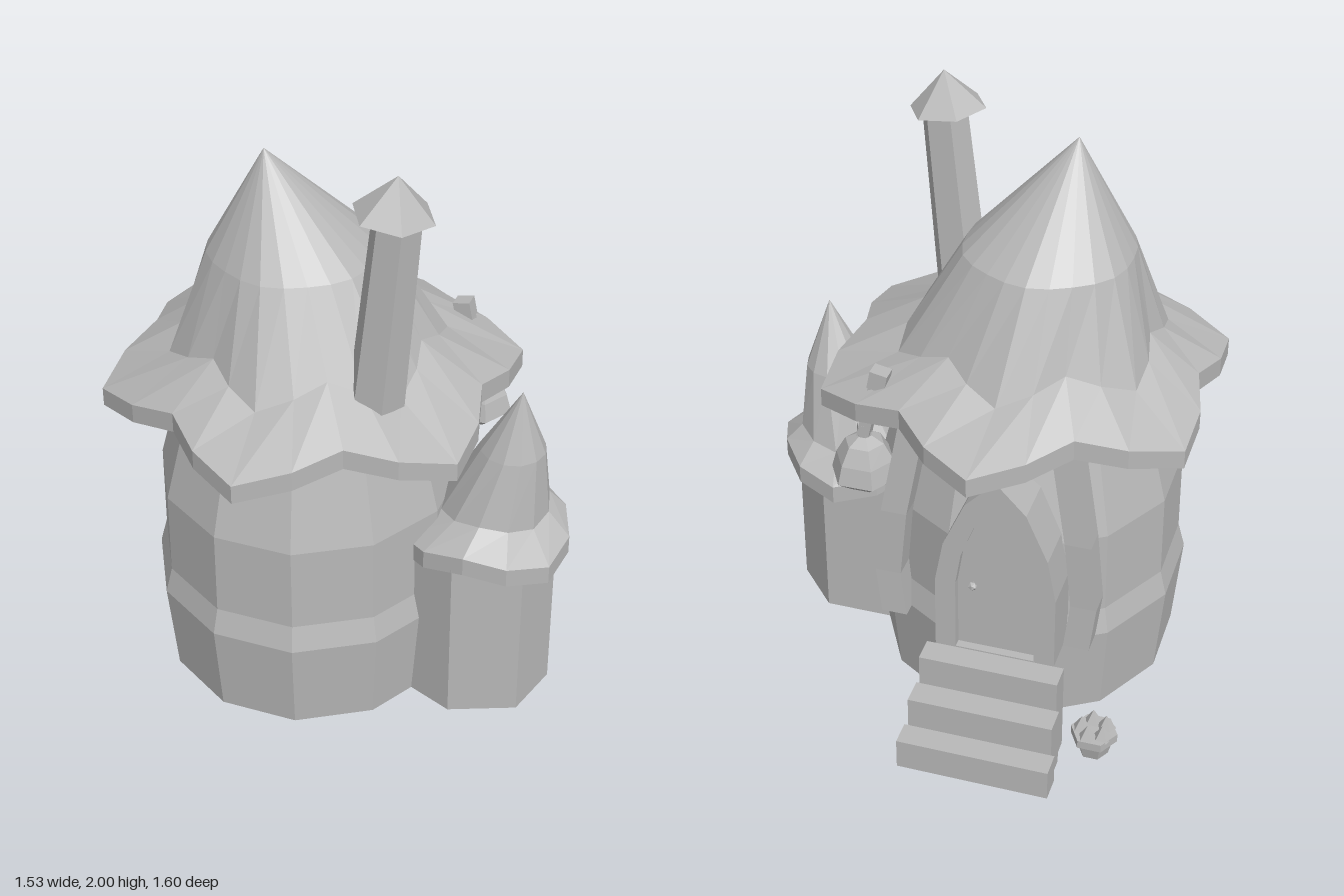
import * as THREE from 'three';

const stone = new THREE.MeshStandardMaterial({ color: 0xb8b8b8, flatShading: true, side: THREE.DoubleSide });
stone.name = 'plain grey';

// Faceted surface through rings [y, rLobe, rValley, valleyLift, cx, cz], bottom to top.
function loft(rings, { n = 6, lobes = 0, phase = 0, sx = 1 } = {}) {
  const p = phase * Math.PI / 180;
  const point = ([y, r, rv, lift, cx, cz], j) => {
    const a = p + (j % n) / n * Math.PI * 2;
    const w = lobes ? (1 - Math.cos(lobes * (a - p))) / 2 : 0; // 0 lobe, 1 valley
    const rad = r + (rv - r) * w;
    return [cx + rad * Math.cos(a) * sx, y + lift * w, cz + rad * Math.sin(a)];
  };
  const pos = [];
  for (let i = 0; i < rings.length - 1; i++) {
    const lo = rings[i], hi = rings[i + 1];
    for (let j = 0; j < n; j++) {
      const a = point(lo, j), b = point(lo, j + 1), c = point(hi, j), d = point(hi, j + 1);
      if (lo[1] > 0) pos.push(...a, ...c, ...b);
      if (hi[1] > 0) pos.push(...b, ...c, ...d);
    }
  }
  const g = new THREE.BufferGeometry();
  g.setAttribute('position', new THREE.Float32BufferAttribute(pos, 3));
  g.computeVertexNormals();
  return g;
}

// Round rings from a profile of [y, r] around one axis.
const round = (prof, cx, cz) => prof.map(([y, r]) => [y, r, r, 0, cx, cz]);

// Pointed arch outline standing at y = base.
function archPoints(w, base, spring, top) {
  const h = top - spring;
  const half = [[w, base], [w, spring], [w * 0.86, spring + h * 0.36], [w * 0.5, spring + h * 0.75]];
  return [...half, [0, top], ...half.map(([x, y]) => [-x, y]).reverse()]
    .map(([x, y]) => new THREE.Vector2(x, y));
}

// Box without its underside.
function openBox(w, h, d) {
  const g = new THREE.BoxGeometry(w, h, d);
  const index = Array.from(g.index.array);
  index.splice(18, 6);
  g.setIndex(index);
  g.clearGroups();
  return g;
}

export function createModel() {
  const group = new THREE.Group();
  const add = (name, geo, x = 0, y = 0, z = 0) => {
    const m = new THREE.Mesh(geo, stone);
    m.name = name;
    m.position.set(x, y, z);
    group.add(m);
    return m;
  };

  // Bulging house wall, open underneath
  add('houseWall', loft(round([[0, 0.545], [0.33, 0.577], [0.42, 0.552], [0.72, 0.55],
    [1.02, 0.468], [1.1, 0.44]], -0.157, 0.092), { n: 12, phase: 15, sx: 0.945 }));

  // Main roof: underside, scalloped rim, brim, leaning cone
  add('mainRoof', loft([
    [1.03, 0.4, 0.4, 0, -0.14, 0.09],
    [1.02, 0.71, 0.58, 0.065, -0.14, 0.09],
    [1.085, 0.71, 0.58, 0.07, -0.14, 0.09],
    [1.2, 0.465, 0.39, 0.08, -0.16, 0.09],
    [1.55, 0.29, 0.28, 0, -0.205, 0.09],
    [1.915, 0, 0, 0, -0.275, 0.16],
  ], { n: 24, lobes: 6, phase: 30 }));

  // Leaning chimney and cap
  add('chimney', loft([
    [1.19, 0, 0, 0, 0.168, 0.345],
    [1.19, 0.095, 0.095, 0, 0.168, 0.345],
    [1.88, 0.08, 0.08, 0, 0.235, 0.345],
  ]));
  add('chimneyCap', loft(round([[0, 0.133], [0.132, 0]], 0, 0)), 0.222, 1.868, 0.345).rotation.z = -0.1;

  // Side turret, open underneath
  add('turretWall', loft(round([[0, 0.24], [0.61, 0.24]], 0.447, 0.145),
    { n: 7, phase: 90, sx: 1.16 }));
  add('turretRoof', loft([
    [0.6, 0.18, 0.18, 0, 0.485, 0.12],
    [0.555, 0.3, 0.27, 0.05, 0.485, 0.12],
    [0.62, 0.3, 0.27, 0.05, 0.485, 0.12],
    [0.7, 0.185, 0.185, 0.03, 0.505, 0.1],
    [0.95, 0.11, 0.11, 0, 0.56, 0.11],
    [1.185, 0, 0, 0, 0.59, 0.13],
  ], { n: 12, lobes: 3, phase: 30 }));

  // Doorway: arched frame, recessed door and knob
  const frame = new THREE.Shape(archPoints(0.205, 0.33, 0.6, 1.03));
  frame.holes.push(new THREE.Path(archPoints(0.135, 0.335, 0.6, 0.93).reverse()));
  add('doorFrame', new THREE.ExtrudeGeometry(frame, { depth: 0.2, bevelEnabled: false }), -0.21, 0, -0.535);
  const door = new THREE.Shape(archPoints(0.14, 0.33, 0.6, 0.935));
  add('door', new THREE.ExtrudeGeometry(door, { depth: 0.08, bevelEnabled: false }), -0.21, 0, -0.505);
  add('doorKnob', new THREE.IcosahedronGeometry(0.016, 0), -0.13, 0.59, -0.52);

  // Three separate step blocks, wider towards the ground
  [[0.33, -0.535, -0.622, 0.475], [0.22, -0.624, -0.715, 0.495], [0.11, -0.717, -0.803, 0.52]]
    .forEach(([h, z0, z1, w]) => {
      add('step', openBox(w, h, z0 - z1), -0.212, h / 2, (z0 + z1) / 2);
    });

  // Bent timber posts flanking the doorway
  for (const s of [1, -1]) {
    const path = [[0.33, 0.32, -0.38], [0.5, 0.34, -0.375], [0.75, 0.315, -0.375], [1.09, 0.255, -0.35]];
    const rings = path.map(([y, x, z]) => [y, 0.063, 0.063, 0, -0.14 + s * x, z]);
    const [y, , , , x, z] = rings[0];
    add('timberPost', loft([[y, 0, 0, 0, x, z], ...rings], { n: 4, phase: 45 }));
  }

  // Hanging lantern with its rod through the brim
  add('lantern', loft(round([[0.765, 0], [0.765, 0.068], [0.805, 0.12], [0.87, 0.102], [0.93, 0.068],
    [0.955, 0.025], [1.0, 0.025], [1.0, 0]], 0.315, -0.295)));
  add('lanternRod', loft([
    [0.96, 0.03, 0.03, 0, 0.315, -0.295],
    [1.17, 0.03, 0.03, 0, 0.265, -0.295],
  ], { n: 4, phase: 45 }));
  add('lanternPeg', new THREE.BoxGeometry(0.06, 0.065, 0.055), 0.255, 1.187, -0.297).rotation.z = 0.2;

  // Flower pot with pointed sprouts
  add('flowerPot', loft(round([[0, 0], [0, 0.05], [0.06, 0.066], [0.06, 0.08], [0.09, 0.08], [0.09, 0]],
    -0.56, -0.535)));
  for (let i = 0; i < 5; i++) {
    const a = i / 5 * Math.PI * 2;
    add('sprout', new THREE.ConeGeometry(0.034, 0.055, 5),
      -0.56 + 0.043 * Math.cos(a), 0.112, -0.535 + 0.043 * Math.sin(a));
  }
  return group;
}
